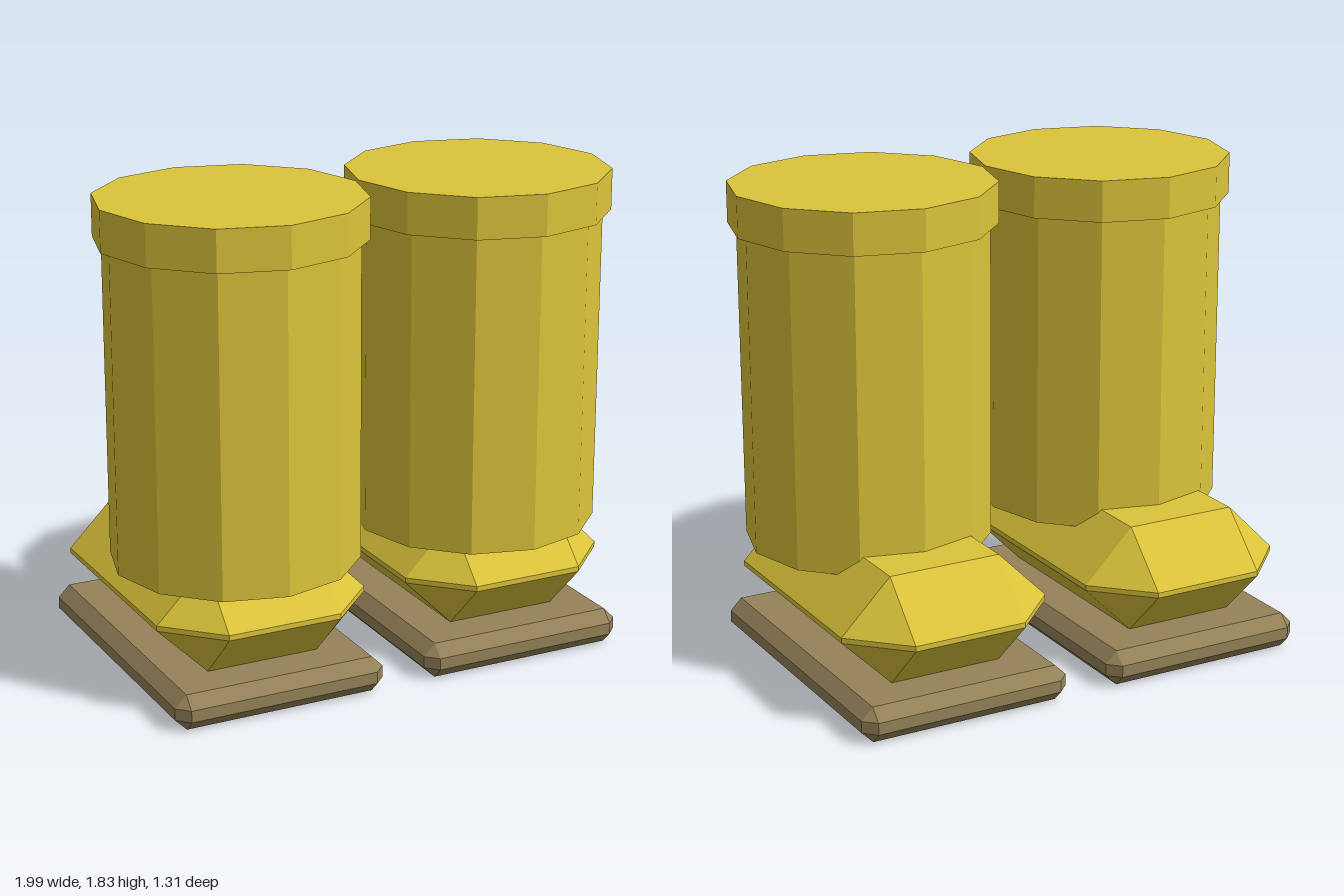
import * as THREE from 'three';
import { ConvexGeometry } from 'three/addons/geometries/ConvexGeometry.js';

// Box with every edge cut by a flat bevel; each corner becomes three points.
function bevelBox(width, height, depth, bevel) {
  const points = [];
  for (const sx of [-1, 1]) for (const sy of [-1, 1]) for (const sz of [-1, 1]) {
    for (let axis = 0; axis < 3; axis++) {
      const half = [width / 2, height / 2, depth / 2].map((h, i) => (i === axis ? h : h - bevel));
      points.push(new THREE.Vector3(sx * half[0], sy * half[1], sz * half[2]));
    }
  }
  return new ConvexGeometry(points);
}

export function createModel() {
  const yellow = new THREE.MeshStandardMaterial({ color: 0xdcc43a, flatShading: true });
  yellow.name = 'yellow';
  const brown = new THREE.MeshStandardMaterial({ color: 0x958258, flatShading: true });
  brown.name = 'sole brown';

  const geometry = {
    sole: bevelBox(0.83, 0.135, 1.24, 0.045),
    foot: bevelBox(0.83, 0.41, 1.24, 0.195),
    shaft: new THREE.CylinderGeometry(0.464, 0.464, 1.21, 12),
    cuff: new THREE.CylinderGeometry(0.495, 0.495, 0.155, 12),
  };

  // One boot: sole, bevelled foot, twelve-sided shaft and wider cuff
  function makeBoot(name, x) {
    const boot = new THREE.Group();
    boot.name = name;
    const add = (part, material, y, z) => {
      const mesh = new THREE.Mesh(geometry[part], material);
      mesh.name = part;
      mesh.position.set(0, y, z);
      boot.add(mesh);
    };
    add('sole', brown, 0.0675, -0.035);
    add('foot', yellow, 0.34, -0.035);
    add('shaft', yellow, 1.075, 0.157);
    add('cuff', yellow, 1.7475, 0.157);
    boot.position.x = x;
    return boot;
  }

  const model = new THREE.Group();
  model.name = 'pairOfBoots';
  model.add(makeBoot('leftBoot', 0.502), makeBoot('rightBoot', -0.502));
  return model;
}
